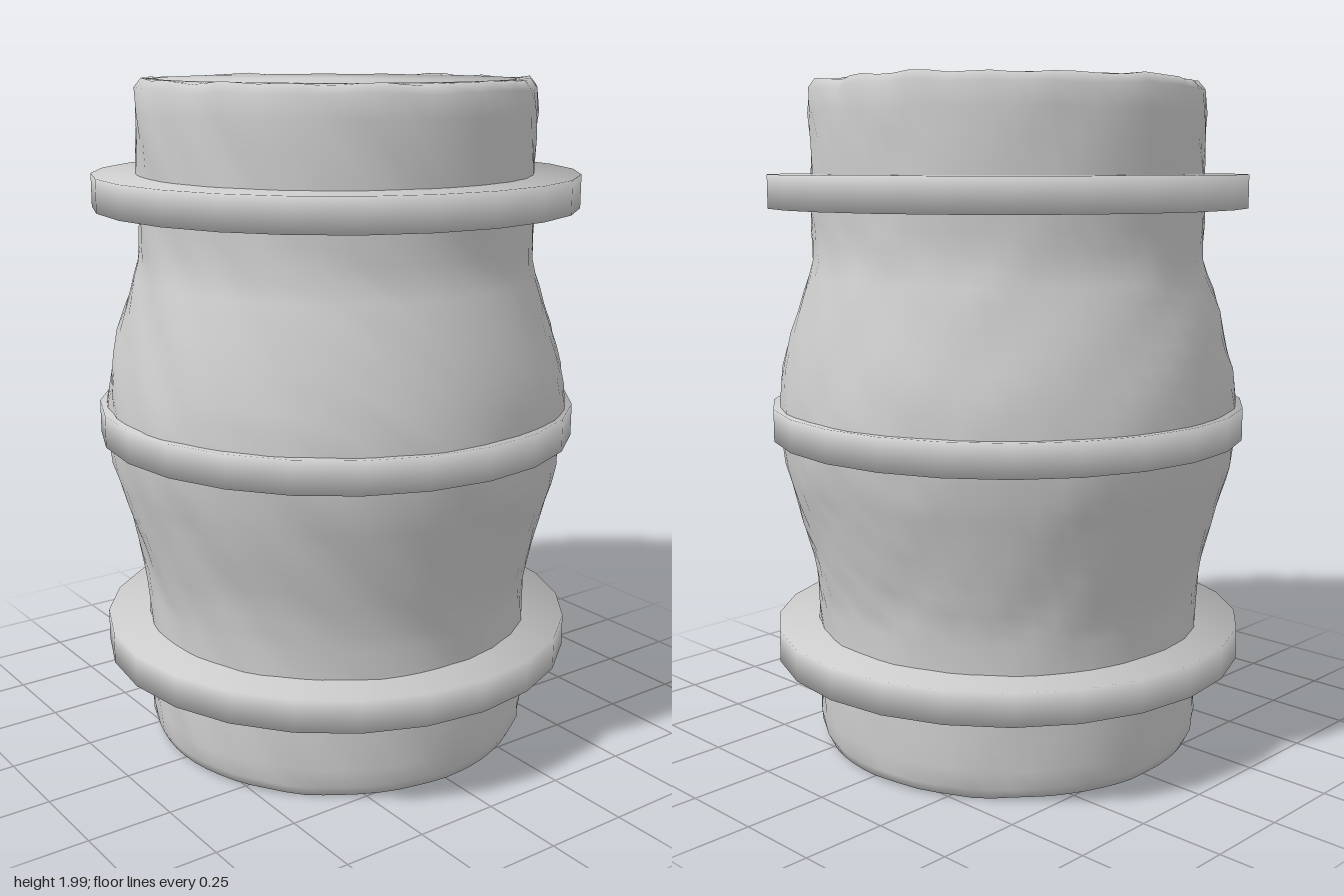
import * as THREE from 'three';
import { mergeVertices } from 'three/addons/utils/BufferGeometryUtils.js';

const grey = new THREE.MeshStandardMaterial({ color: 0xcccccc });
grey.name = 'plain grey';

// Flat disc whose normals are averaged over the rim, so it shades softly
function softDisc(name, radius, bottom, top) {
  const geo = new THREE.CylinderGeometry(radius, radius, top - bottom, 24);
  const pos = geo.attributes.position;
  const nor = geo.attributes.normal;
  const n = new THREE.Vector3();
  for (let i = 0; i < pos.count; i++) {
    const x = pos.getX(i), z = pos.getZ(i);
    const r = Math.hypot(x, z);
    if (r < 0.01) continue;
    n.set(x / r, Math.sign(pos.getY(i)), z / r).normalize();
    nor.setXYZ(i, n.x, n.y, n.z);
  }
  const mesh = new THREE.Mesh(geo, grey);
  mesh.name = name;
  mesh.position.y = (bottom + top) / 2;
  return mesh;
}

// Small smooth unevenness over the surface
function bumps(x, y, z) {
  return 0.004 * Math.sin(13 * x + 7 * y + 2) * Math.sin(11 * z - 9 * y)
    + 0.003 * Math.sin(29 * x - 17 * z + 21 * y)
    + 0.002 * Math.sin(47 * z + 31 * x - 37 * y);
}

function barrelBody() {
  // Straight neck and foot with a bulging middle
  const side = [
    [0.575, 0.045], [0.58, 0.1], [0.58, 0.28], [0.58, 0.46], [0.592, 0.55], [0.612, 0.64],
    [0.645, 0.77], [0.674, 0.88], [0.688, 0.99], [0.687, 1.06], [0.672, 1.16],
    [0.645, 1.27], [0.61, 1.39], [0.582, 1.48], [0.577, 1.58], [0.58, 1.75],
    [0.58, 1.9], [0.576, 1.965],
  ];
  const profile = [[0, 0.012], [0.3, 0.012], [0.52, 0.012], [0.56, 0.014]];
  side.forEach(([r, y], i) => {
    profile.push([r, y]);
    if (i < side.length - 1) {
      const [r2, y2] = side[i + 1];
      if (y2 - y > 0.07) profile.push([(r + r2) / 2, (y + y2) / 2]);
    }
  });
  profile.push([0.555, 1.99], [0.52, 1.99], [0.48, 1.975], [0, 1.975]);

  let geo = new THREE.LatheGeometry(profile.map(([r, y]) => new THREE.Vector2(r, y)), 64);
  geo.deleteAttribute('uv');
  geo.deleteAttribute('normal');
  geo = mergeVertices(geo, 1e-4);
  const pos = geo.attributes.position;
  for (let i = 0; i < pos.count; i++) {
    const x = pos.getX(i), y = pos.getY(i), z = pos.getZ(i);
    const r = Math.hypot(x, z);
    if (r < 0.54) continue;
    const b = bumps(x, y, z);
    const s = 1 + b / r;
    const edge = y < 0.06 || y > 1.95;
    pos.setXYZ(i, x * s, edge ? y + b : y, z * s);
  }
  geo.computeVertexNormals();
  const mesh = new THREE.Mesh(geo, grey);
  mesh.name = 'barrelBody';
  return mesh;
}

export function createModel() {
  const group = new THREE.Group();
  group.name = 'barrel';
  group.add(barrelBody());

  // Three wide hoops
  const hoops = [['lowerHoop', 0.33], ['middleHoop', 1.003], ['upperHoop', 1.678]];
  for (const [name, y] of hoops) group.add(softDisc(name, 0.71, y - 0.048, y + 0.048));

  // Lid set flush in the rim
  group.add(softDisc('lid', 0.52, 1.85, 1.991));
  return group;
}
